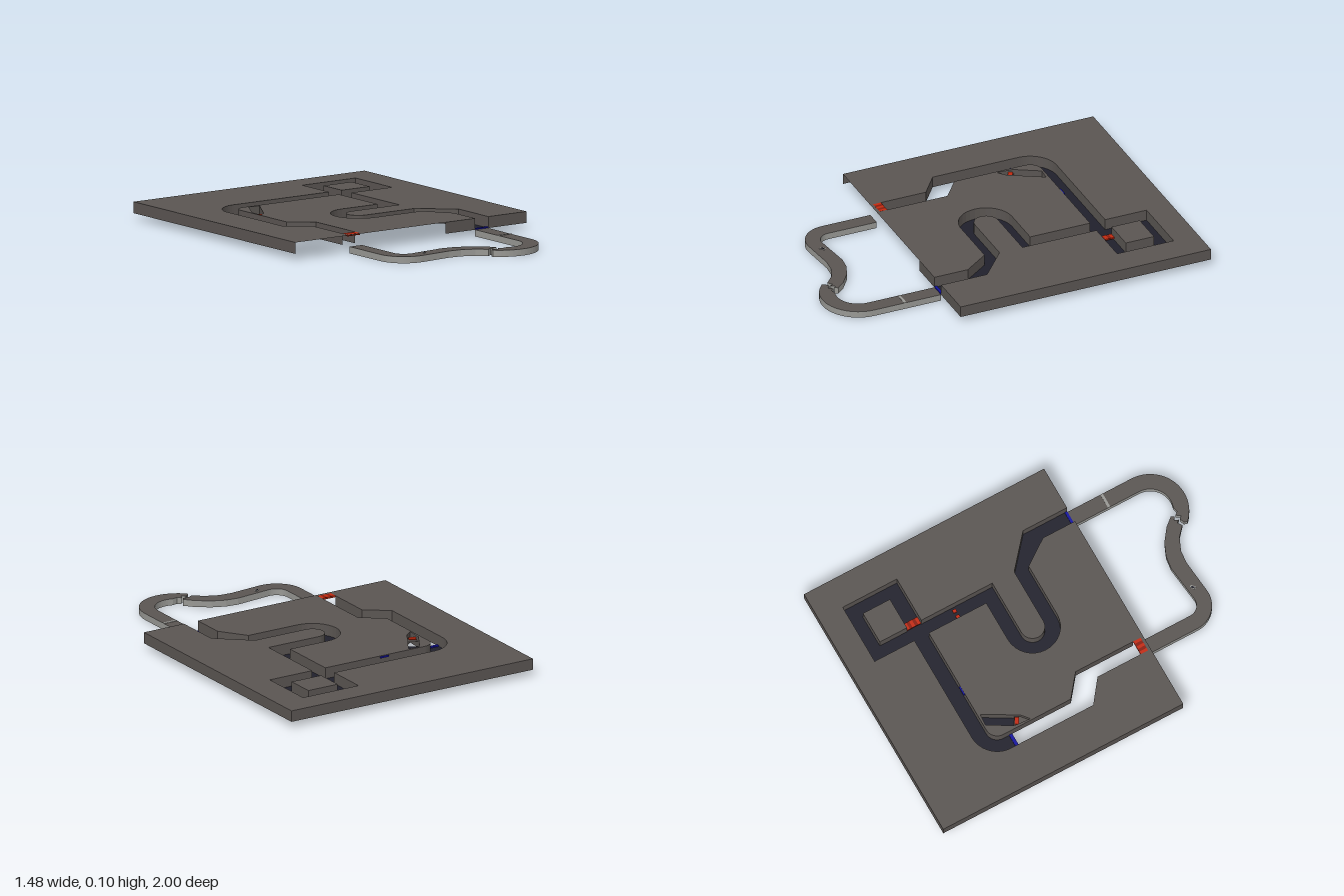
import * as THREE from 'three';

const TOP = 0.095, FLOOR = 0.035;

const mat = (name, color) => new THREE.MeshStandardMaterial({ name, color, side: THREE.DoubleSide });
const deckGrey = mat('deck grey', 0x5a5552);
const floorNavy = mat('floor navy', 0x20202c);
const paleGrey = mat('pale grey', 0x989894);
const red = mat('red', 0xc22a10);
const darkRed = mat('dark red', 0x8a1c0c);
const blue = mat('blue', 0x1212a0);

// Points [x, z] along an arc, angles in degrees
function arc(cx, cz, r, a0, a1, n = 16) {
  return Array.from({ length: n + 1 }, (_, i) => {
    const a = THREE.MathUtils.degToRad(a0 + (a1 - a0) * i / n);
    return [cx + r * Math.cos(a), cz + r * Math.sin(a)];
  });
}

const vectors = pts => pts.map(([x, z]) => new THREE.Vector2(x, -z));

export function createModel() {
  const model = new THREE.Group();
  model.name = 'raceTrack';

  const add = (name, geo, material) => {
    const mesh = new THREE.Mesh(geo, material);
    mesh.name = name;
    model.add(mesh);
    return mesh;
  };

  // Horizontal sheet with optional holes
  const sheet = (name, pts, y, material, holes = []) => {
    const shape = new THREE.Shape(vectors(pts));
    holes.forEach(h => shape.holes.push(new THREE.Path(vectors(h))));
    return add(name, new THREE.ShapeGeometry(shape).rotateX(-Math.PI / 2).translate(0, y, 0), material);
  };

  // Vertical wall following a line of points
  const wall = (name, pts, y0, y1, material) => {
    const pos = [];
    for (let i = 0; i + 1 < pts.length; i++) {
      const [ax, az] = pts[i], [bx, bz] = pts[i + 1];
      pos.push(ax, y0, az, bx, y0, bz, bx, y1, bz, ax, y0, az, bx, y1, bz, ax, y1, az);
    }
    const geo = new THREE.BufferGeometry();
    geo.setAttribute('position', new THREE.Float32BufferAttribute(pos, 3));
    geo.computeVertexNormals();
    return add(name, geo, material);
  };

  const slab = (name, x, y, z, w, h, d, material, turn = 0) => {
    const mesh = add(name, new THREE.BoxGeometry(w, h, d), material);
    mesh.position.set(x, y, z);
    mesh.rotation.y = turn;
    return mesh;
  };

  // Edges of the sunken road, from the front right opening to the left bend
  const outerStart = [
    [0.495, 0.42], [0.495, 0.16], [0.32, 0.01],
    ...arc(0.01, -0.055, 0.065, 90, 270),
    [0.32, -0.12], [0.32, -0.54], [0.58, -0.54], [0.58, -0.86], [0.24, -0.86], [0.24, -0.625],
    ...arc(-0.37, -0.475, 0.15, 270, 180),
  ];
  const innerEnd = [
    ...arc(-0.37, -0.475, 0.065, 180, 270),
    [0.24, -0.54], [0.24, -0.2],
    ...arc(0.01, -0.055, 0.145, 270, 90),
    [0.31, 0.09], [0.41, 0.23], [0.41, 0.42],
  ];
  // Edges of the floorless jump
  const gapLeft = [[-0.52, 0.01], [-0.395, 0.105], [-0.395, 0.36]];
  const gapRight = [[-0.315, 0.36], [-0.315, 0.02], [-0.435, -0.075]];
  const island = [[0.32, -0.625], [0.5, -0.625], [0.5, -0.785], [0.32, -0.785]];
  const alley = [[-0.345, -0.53], [-0.28, -0.525], [-0.385, -0.345], [-0.427, -0.31], [-0.42, -0.4]];

  // Raised deck
  sheet('deck', [[0.74, 0.42], ...outerStart, ...gapLeft, ...gapRight, ...innerEnd,
    [-0.74, 0.42], [-0.74, -1], [0.74, -1]], TOP, deckGrey, [alley]);
  sheet('loopIsland', island, TOP, deckGrey);
  wall('deckSkirt', [[-0.74, 0.42], [-0.74, -1], [0.74, -1], [0.74, 0.42], [0.495, 0.42]], FLOOR, TOP, deckGrey);
  wall('frontSkirt', [[0.41, 0.42], [0.22, 0.42]], FLOOR, TOP, deckGrey);

  // Channel walls and floor
  wall('channelOuterWall', [...outerStart, ...gapLeft], FLOOR, TOP, deckGrey);
  wall('channelInnerWall', [...gapRight, ...innerEnd], FLOOR, TOP, deckGrey);
  wall('islandWall', [...island, island[0]], FLOOR, TOP, deckGrey);
  sheet('channelFloor', [...outerStart, [-0.52, -0.43], [-0.435, -0.43], ...innerEnd], FLOOR, floorNavy, [island]);

  // Short side alley beside the left bend
  wall('alleyWall', [...alley, alley[0]], FLOOR, TOP, deckGrey);
  sheet('alleyFloor', [[-0.335, -0.53], [-0.28, -0.525], [-0.368, -0.375], [-0.418, -0.405]], 0.045, floorNavy);
  sheet('alleyRamp', [[-0.418, -0.405], [-0.368, -0.375], [-0.385, -0.345], [-0.427, -0.31]], 0.07, deckGrey);
  slab('alleyStripe', -0.398, 0.082, -0.375, 0.04, 0.006, 0.025, red, -0.5);

  // Red ramps made of alternating bands
  for (let i = 0; i < 5; i++) {
    const m = i % 2 ? darkRed : red;
    slab('loopRampBand', 0.34, 0.05, -0.6155 + i * 0.0165, 0.04, 0.008, 0.0165, m);
    slab('landingBand', -0.387 + i * 0.016, 0.091, 0.382, 0.016, 0.009, 0.044, m);
  }
  for (const x of [0.263, 0.298]) slab('boostPad', x, 0.04, -0.355, 0.018, 0.006, 0.02, red);

  // Blue lines
  slab('startLine', 0.4525, 0.038, 0.413, 0.085, 0.006, 0.014, blue);
  slab('jumpLine', -0.4775, 0.038, -0.432, 0.085, 0.006, 0.018, blue);
  slab('wallMark', -0.12, 0.088, -0.544, 0.05, 0.008, 0.008, blue);

  // Lower road: two hollow pieces meeting at a jagged break
  const lowerRoads = [
    {
      name: 'lowerRoadLeft',
      outer: [[-0.395, 0.42], ...arc(-0.25, 0.697, 0.145, 180, 85), [-0.05, 0.823], [0.02, 0.83], [0.09, 0.86], [0.14, 0.905]],
      jag: [[0.165, 0.888], [0.175, 0.903], [0.185, 0.88], [0.2, 0.893]],
      inner: [[0.21, 0.875], [0.17, 0.828], [0.1, 0.776], [0.03, 0.747], [-0.04, 0.738], ...arc(-0.25, 0.697, 0.065, 85, 180), [-0.315, 0.42]],
    },
    {
      name: 'lowerRoadRight',
      outer: [[0.492, 0.42], ...arc(0.29, 0.798, 0.202, 0, 136, 22)],
      jag: [[0.15, 0.92], [0.175, 0.91], [0.19, 0.925], [0.205, 0.9], [0.22, 0.918]],
      inner: [...arc(0.29, 0.798, 0.12, 110, 0), [0.41, 0.42]],
    },
  ];
  for (const { name, outer, jag, inner } of lowerRoads) {
    sheet(name, [...outer, ...jag, ...inner], FLOOR, deckGrey);
    wall(name + 'Side', [...outer, ...jag, ...inner], 0, FLOOR, paleGrey);
  }
  slab('paleStripe', 0.451, 0.034, 0.622, 0.082, 0.006, 0.014, paleGrey);

  // Small marker on the lower road
  slab('roadMarker', -0.185, 0.034, 0.786, 0.03, 0.006, 0.016, paleGrey, 0.7);
  slab('roadMarkerCentre', -0.185, 0.036, 0.786, 0.018, 0.006, 0.008, floorNavy, 0.7);

  return model;
}
